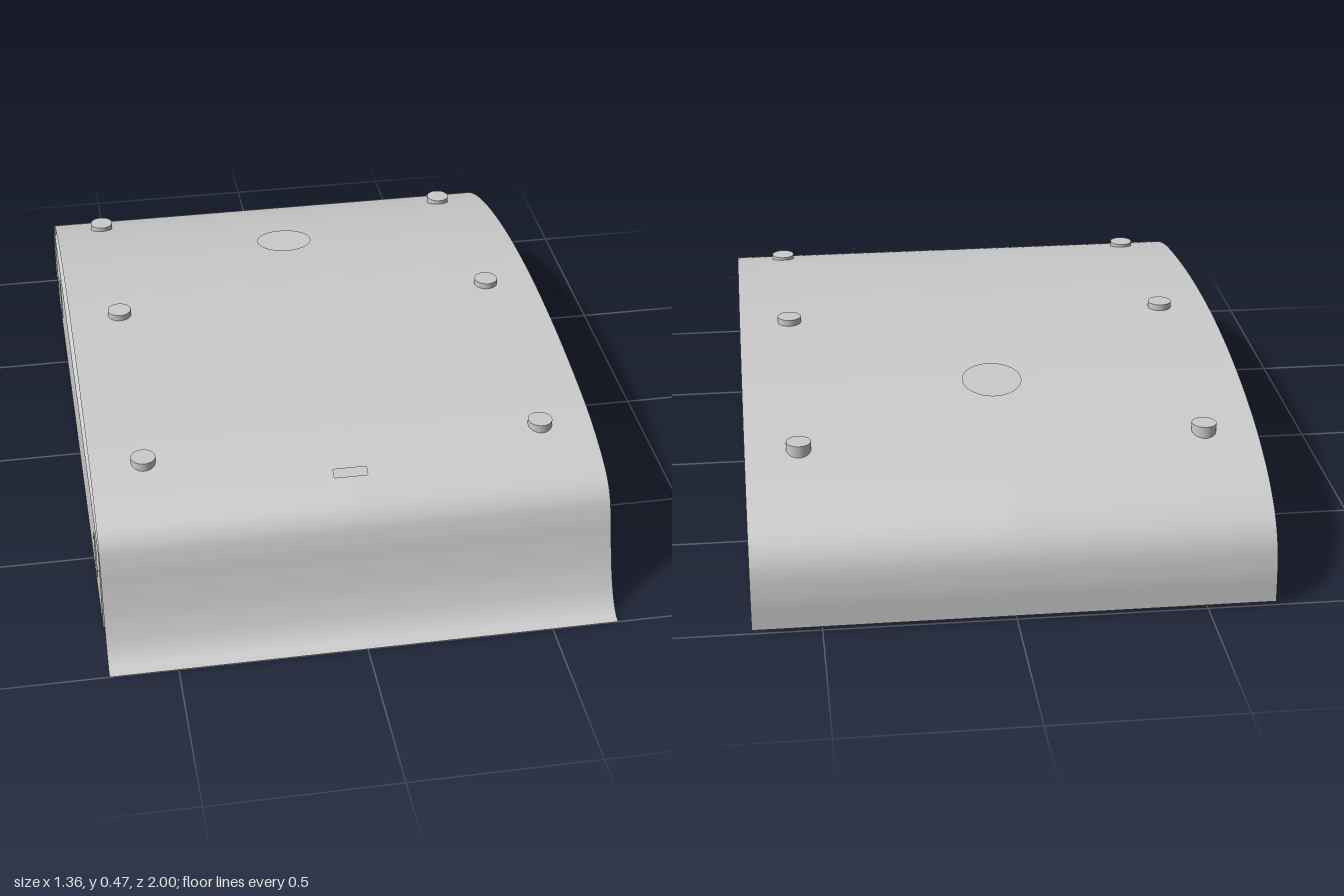
import * as THREE from 'three';

const HALF = 0.68;                       // half width of cover and chassis
const mat = new THREE.MeshStandardMaterial({ color: 0xcccccc, side: THREE.DoubleSide });

function add(parent, geo, name, x = 0, y = 0, z = 0) {
  const m = new THREE.Mesh(geo, mat);
  m.name = name;
  m.position.set(x, y, z);
  parent.add(m);
  return m;
}

// Cover profile from the flared front lip over the crown to the back edge: [z, y]
const profile = new THREE.CatmullRomCurve3([
  [1, 0], [0.977, 0.007], [0.945, 0.037], [0.91, 0.1], [0.88, 0.185], [0.86, 0.25], [0.84, 0.295],
  [0.81, 0.328], [0.76, 0.356], [0.62, 0.4], [0.4, 0.432], [0.2, 0.448], [0, 0.453],
  [-0.2, 0.446], [-0.4, 0.425], [-0.6, 0.387], [-0.75, 0.341], [-0.86, 0.289],
  [-0.935, 0.232], [-0.975, 0.175], [-0.994, 0.1], [-1, 0.01],
].map(([z, y]) => new THREE.Vector3(0, y, z)), false, 'centripetal');

const SLOT = { z0: 0.705, z1: 0.731, half: 0.045 };
const EYE = { z: -0.425, r: 0.08 };

// Half width of the opening in the cover at depth z
function opening(z) {
  if (z > SLOT.z0 && z < SLOT.z1) return SLOT.half;
  const d = z - EYE.z;
  return Math.abs(d) < EYE.r ? Math.sqrt(EYE.r ** 2 - d * d) : 0;
}

// Curve parameter at depth z (z falls steadily along the profile)
function paramAt(z) {
  let a = 0, b = 1;
  for (let i = 0; i < 40; i++) {
    const m = (a + b) / 2;
    if (profile.getPoint(m).z > z) a = m; else b = m;
  }
  return (a + b) / 2;
}

// Right or left half of the cover, swept in rows that run round the openings
function coverHalf(side) {
  const us = [];
  for (let i = 0; i <= 168; i++) us.push(i / 168);
  for (const z of [SLOT.z0, SLOT.z1]) us.push(paramAt(z - 1e-5), paramAt(z + 1e-5));
  for (let i = 0; i <= 32; i++) us.push(paramAt(EYE.z + EYE.r * Math.cos(Math.PI * i / 32)));
  us.sort((a, b) => a - b);
  const pos = [], nor = [], idx = [];
  us.forEach((u, i) => {
    const p = profile.getPoint(u), t = profile.getTangent(u);
    for (const x of [opening(p.z), HALF]) {
      pos.push(side * x, p.y, p.z);
      nor.push(0, -t.z, t.y);
    }
    if (i === 0) return;
    const a = 2 * i - 2, b = a + 1, c = a + 2, d = a + 3;
    idx.push(...(side > 0 ? [a, b, d, a, d, c] : [a, d, b, a, c, d]));
  });
  const g = new THREE.BufferGeometry();
  g.setAttribute('position', new THREE.Float32BufferAttribute(pos, 3));
  g.setAttribute('normal', new THREE.Float32BufferAttribute(nor, 3));
  g.setIndex(idx);
  return g;
}

// Chassis limits
const Z0 = -0.865, Z1 = 0.812, Y0 = 0.01, Y1 = 0.265, T = 0.008, R = 0.018;
const LEN = Z1 - Z0, MID = (Z0 + Z1) / 2;

// Side wall with two cable ports, each flanked by screw holes
function sideWall() {
  const s = new THREE.Shape();
  s.moveTo(-Z1, Y0);
  s.lineTo(-Z0, Y0);
  s.lineTo(-Z0, Y1 - R);
  s.lineTo(-Z1, Y1 - R);
  s.closePath();
  for (const z of [0.635, -0.685]) {
    const port = new THREE.Path();
    port.absarc(-z, 0.15, 0.035, 0, Math.PI, false);
    port.absarc(-z, 0.083, 0.035, Math.PI, 2 * Math.PI, false);
    port.closePath();
    s.holes.push(port);
    for (const d of [-0.07, 0.07]) {
      s.holes.push(new THREE.Path().absarc(-z + d, 0.117, 0.009, 0, 2 * Math.PI, false));
    }
  }
  return new THREE.ExtrudeGeometry(s, { depth: T, bevelEnabled: false, curveSegments: 12 })
    .rotateY(Math.PI / 2);
}

// Rounded bend joining the top plate to a side wall
function bend() {
  const s = new THREE.Shape();
  s.absarc(0, 0, R, 0, Math.PI / 2, false);
  s.absarc(0, 0, R - T, Math.PI / 2, 0, true);
  s.closePath();
  return new THREE.ExtrudeGeometry(s, { depth: LEN - 0.016, bevelEnabled: false, curveSegments: 8 });
}

export function createModel() {
  const model = new THREE.Group();
  model.name = 'coveredEnclosure';

  const cover = new THREE.Group();
  cover.name = 'curvedCover';
  model.add(cover);
  add(cover, coverHalf(1), 'coverLeft');
  add(cover, coverHalf(-1), 'coverRight');

  // Hollow sheet-metal box
  const chassis = new THREE.Group();
  chassis.name = 'chassis';
  model.add(chassis);
  const inner = 2 * (HALF - T);
  add(chassis, new THREE.BoxGeometry(inner, T, LEN), 'bottomPlate', 0, Y0 + T / 2, MID);
  add(chassis, new THREE.BoxGeometry(2 * (HALF - R), T, LEN - 0.016), 'topPlate', 0, Y1 - T / 2, MID);
  const wallH = Y1 - Y0 - 2 * T;
  for (const [name, z] of [['frontWall', Z1 - T / 2], ['backWall', Z0 + T / 2]]) {
    add(chassis, new THREE.BoxGeometry(inner, wallH, T), name, 0, Y0 + T + wallH / 2, z);
  }
  for (const side of [1, -1]) {
    const half = new THREE.Group();
    half.name = side > 0 ? 'leftSide' : 'rightSide';
    half.scale.x = side;
    chassis.add(half);
    add(half, sideWall(), 'sideWall', HALF - T);
    add(half, bend(), 'topBend', HALF - R, Y1 - R, Z0 + 0.008);

    // Standoff posts that rise through the cover
    for (const [z, top] of [[0.62, 0.415], [-0.03, 0.47], [-0.685, 0.385]]) {
      const h = top - Y1 + T;
      add(half, new THREE.CylinderGeometry(0.033, 0.033, h, 32), 'post', 0.538, top - h / 2, z);
    }
  }
  return model;
}
